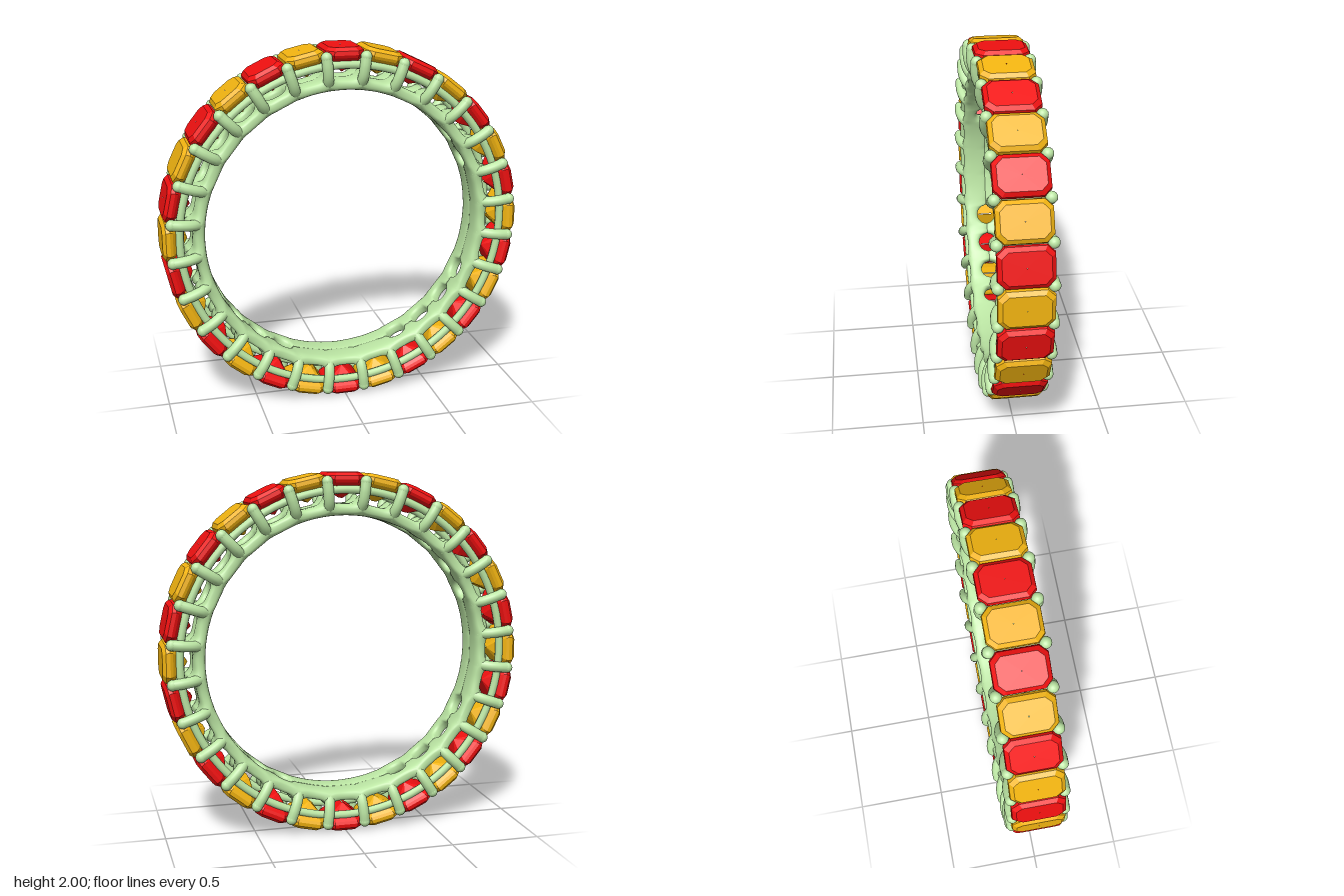
import * as THREE from 'three';

const STONES = 28;
const STEP = (Math.PI * 2) / STONES;

const mint = new THREE.MeshStandardMaterial({ color: 0xbce6a4 });
const red = new THREE.MeshStandardMaterial({ color: 0xf01010 });
const amber = new THREE.MeshStandardMaterial({ color: 0xf2b411 });

// Skin a list of closed loops of points; optionally join the last loop to the first
function skin(loops, closed) {
  const n = loops[0].length, rows = loops.length, index = [];
  for (let i = 0; i < (closed ? rows : rows - 1); i++) {
    for (let j = 0; j < n; j++) {
      const a = i * n + j, b = ((i + 1) % rows) * n + j;
      const c = i * n + ((j + 1) % n), d = ((i + 1) % rows) * n + ((j + 1) % n);
      index.push(a, b, c, c, b, d);
    }
  }
  const geometry = new THREE.BufferGeometry();
  geometry.setAttribute('position', new THREE.Float32BufferAttribute(loops.flat(2), 3));
  geometry.setIndex(index);
  geometry.computeVertexNormals();
  return geometry;
}

// Step-cut stone: octagonal loops from the keel up to the table
function stoneGeometry() {
  const levels = [ // radius, half width, half length, corner cut
    [0.86, 0.002, 0.04, 0.001],
    [0.90, 0.055, 0.09, 0.02],
    [0.945, 0.1, 0.137, 0.036],
    [0.96, 0.107, 0.144, 0.04],
    [0.982, 0.104, 0.141, 0.04],
    [1.0, 0.083, 0.12, 0.032],
    [1.0, 0.002, 0.002, 0.001],
  ];
  const loops = levels.map(([y, w, h, c]) => [
    [w, y, c - h], [w, y, h - c], [w - c, y, h], [c - w, y, h],
    [-w, y, h - c], [-w, y, c - h], [c - w, y, -h], [w - c, y, -h],
  ]);
  const flat = skin(loops, false).toNonIndexed();
  flat.computeVertexNormals();
  return flat;
}

// Half of the inner band: scalloped outer edge, with inner windows
// everywhere but around the four quarter points
function halfBandGeometry() {
  const perCell = 14, sides = 24, loops = [];
  const power = (v, p) => Math.sign(v) * Math.pow(Math.abs(v), p);
  for (let i = 0; i < STONES * perCell; i++) {
    const cell = i / perCell;
    const u = (cell - Math.round(cell)) * 2;
    const inQuarter = Math.round(cell) % 7;
    const open = inQuarter >= 2 && inQuarter <= 5;
    const top = 0.832 + 0.05 * Math.pow(Math.abs(u), 4);
    const window = open ? Math.sqrt(Math.max(0, 1 - Math.pow(u / 0.72, 2))) : 0;
    const zIn = -0.02 + 0.075 * window;
    const zOut = 0.125 + 0.012 * u * u;
    const a = cell * STEP, loop = [];
    for (let j = 0; j < sides; j++) {
      const t = (j / sides) * Math.PI * 2;
      const z = (zIn + zOut) / 2 + ((zOut - zIn) / 2) * power(Math.cos(t), 0.7);
      const r = (0.768 + top) / 2 + ((top - 0.768) / 2) * power(Math.sin(t), 0.7);
      loop.push([r * Math.sin(a), r * Math.cos(a), z]);
    }
    loops.push(loop);
  }
  return skin(loops, true);
}

export function createModel() {
  const model = new THREE.Group();
  model.name = 'ring';
  const ring = new THREE.Group();
  ring.name = 'ringBody';
  ring.position.y = 1;
  model.add(ring);

  const add = (parent, name, geometry, material) => {
    const mesh = new THREE.Mesh(geometry, material);
    mesh.name = name;
    parent.add(mesh);
    return mesh;
  };

  // Inner band and the thin gallery rails under the stones
  const band = halfBandGeometry();
  const rail = new THREE.TorusGeometry(0.908, 0.022, 10, 112);
  for (const side of [1, -1]) {
    const half = add(ring, 'innerBand', band, mint);
    if (side < 0) half.rotation.y = Math.PI;
    add(ring, 'galleryRail', rail, mint).position.z = side * 0.115;
  }

  // Prong: a bowed leg from the band to a rounded tip at the stone corners
  const leg = new THREE.CatmullRomCurve3([
    new THREE.Vector3(0, 0.795, 0.095),
    new THREE.Vector3(0, 0.845, 0.128),
    new THREE.Vector3(0, 0.9, 0.14),
    new THREE.Vector3(0, 0.957, 0.138),
  ]);
  const legGeometry = new THREE.TubeGeometry(leg, 12, 0.03, 12, false);
  const tipGeometry = new THREE.SphereGeometry(0.031, 14, 10);
  const stone = stoneGeometry();

  for (let k = 0; k < STONES; k++) {
    const gem = add(ring, 'stone', stone, k % 2 ? amber : red);
    gem.rotation.z = -k * STEP;

    const pair = new THREE.Group();
    pair.name = 'prongPair';
    pair.rotation.z = -(k + 0.5) * STEP;
    ring.add(pair);
    for (const turn of [0, Math.PI]) {
      const prong = new THREE.Group();
      prong.name = 'prong';
      prong.rotation.y = turn;
      pair.add(prong);
      add(prong, 'prongLeg', legGeometry, mint);
      add(prong, 'prongTip', tipGeometry, mint).position.set(0, 0.957, 0.138);
    }
  }
  return model;
}
